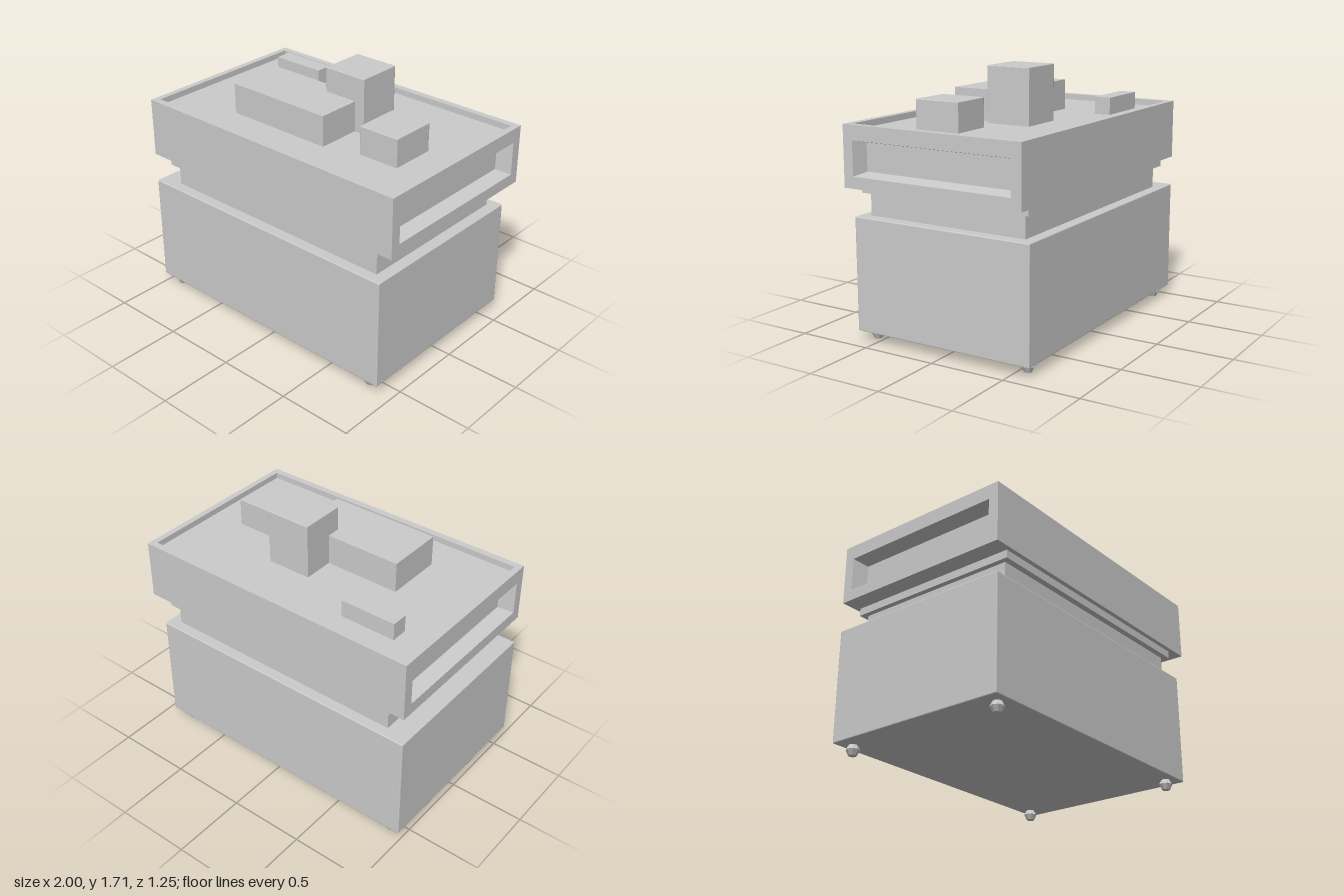
import * as THREE from 'three';
import { RoundedBoxGeometry } from 'three/addons/geometries/RoundedBoxGeometry.js';

const grey = new THREE.MeshStandardMaterial({ color: 0xcccccc, flatShading: true });

function addMesh(parent, name, geometry) {
  const mesh = new THREE.Mesh(geometry, grey);
  mesh.name = name;
  parent.add(mesh);
  return mesh;
}

// Box given by its extents, with an optional small chamfer
function addBox(parent, name, [x0, x1], [y0, y1], [z0, z1], chamfer = 0) {
  const size = [x1 - x0, y1 - y0, z1 - z0];
  const geometry = chamfer
    ? new RoundedBoxGeometry(...size, 1, chamfer)
    : new THREE.BoxGeometry(...size);
  const mesh = addMesh(parent, name, geometry);
  mesh.position.set((x0 + x1) / 2, (y0 + y1) / 2, (z0 + z1) / 2);
  return mesh;
}

// Joins four-cornered sections in order; skip(section, side) leaves a quad open
function loft(sections, { startCap = true, skip = () => false } = {}) {
  const points = [];
  const quad = (a, b, c, d) => points.push(...a, ...b, ...c, ...a, ...c, ...d);
  for (let s = 0; s < sections.length - 1; s++) {
    const a = sections[s], b = sections[s + 1];
    for (let i = 0; i < 4; i++) {
      const j = (i + 1) % 4;
      if (!skip(s, i)) quad(a[i], a[j], b[j], b[i]);
    }
  }
  if (startCap) quad(...[...sections[0]].reverse());
  quad(...sections[sections.length - 1]);
  const geometry = new THREE.BufferGeometry();
  geometry.setAttribute('position', new THREE.Float32BufferAttribute(points, 3));
  geometry.computeVertexNormals();
  return geometry;
}

const sectionX = (x, y0, y1, z) => [[x, y0, -z], [x, y1, -z], [x, y1, z], [x, y0, z]];
const sectionY = (y, x, z) => [[-x, y, -z], [-x, y, z], [x, y, z], [x, y, -z]];

export function createModel() {
  const model = new THREE.Group();
  model.name = 'cabinet';

  // Lower cabinet and the stepped neck above it
  addBox(model, 'lowerCabinet', [-1, 0.915], [0.065, 0.8], [-0.625, 0.625], 0.006);
  addBox(model, 'neck', [-0.845, 0.84], [0.79, 0.95], [-0.555, 0.555]);
  addBox(model, 'neckFlange', [-0.88, 0.875], [0.945, 1.0], [-0.595, 0.595]);

  // Upper housing: a tapered recess in each end, top left open for the tray
  const recess = (side) => sectionX(0.9 * side, 1.087, 1.267, 0.528);
  const opening = (side) => sectionX(side, 1.07, 1.29, 0.557);
  const end = (side) => sectionX(side, 0.995, 1.385, 0.625);
  addMesh(model, 'upperHousing', loft(
    [recess(-1), opening(-1), end(-1), end(1), opening(1), recess(1)],
    { skip: (section, side) => section === 2 && side === 1 }
  ));

  // Shallow tray with a raised rim
  const floorY = 1.345;
  addMesh(model, 'topTray', loft(
    [sectionY(1.385, 1, 0.625), sectionY(1.385, 0.96, 0.58), sectionY(floorY, 0.96, 0.58)],
    { startCap: false }
  ));

  // Blocks standing in the tray
  const blocks = new THREE.Group();
  blocks.name = 'topBlocks';
  model.add(blocks);
  const bottom = floorY - 0.01;
  addBox(blocks, 'longBlock', [-0.51, 0.237], [bottom, 1.545], [-0.043, 0.342]);
  addBox(blocks, 'tallBlock', [0, 0.304], [bottom, 1.705], [-0.25, 0.05], 0.004);
  addBox(blocks, 'sideBlock', [0.465, 0.742], [bottom, 1.53], [-0.032, 0.273], 0.004);
  addBox(blocks, 'smallBlock', [-0.78, -0.406], [bottom, 1.457], [-0.437, -0.327]);

  // Faceted feet
  const footProfile = [[0, 0], [0.026, 0], [0.043, 0.035], [0.026, 0.07], [0, 0.07]]
    .map(([r, y]) => new THREE.Vector2(r, y));
  const footGeometry = new THREE.LatheGeometry(footProfile, 8);
  for (const x of [-0.9, 0.807]) {
    for (const z of [-0.553, 0.553]) {
      addMesh(model, 'foot', footGeometry).position.set(x, 0, z);
    }
  }

  return model;
}
